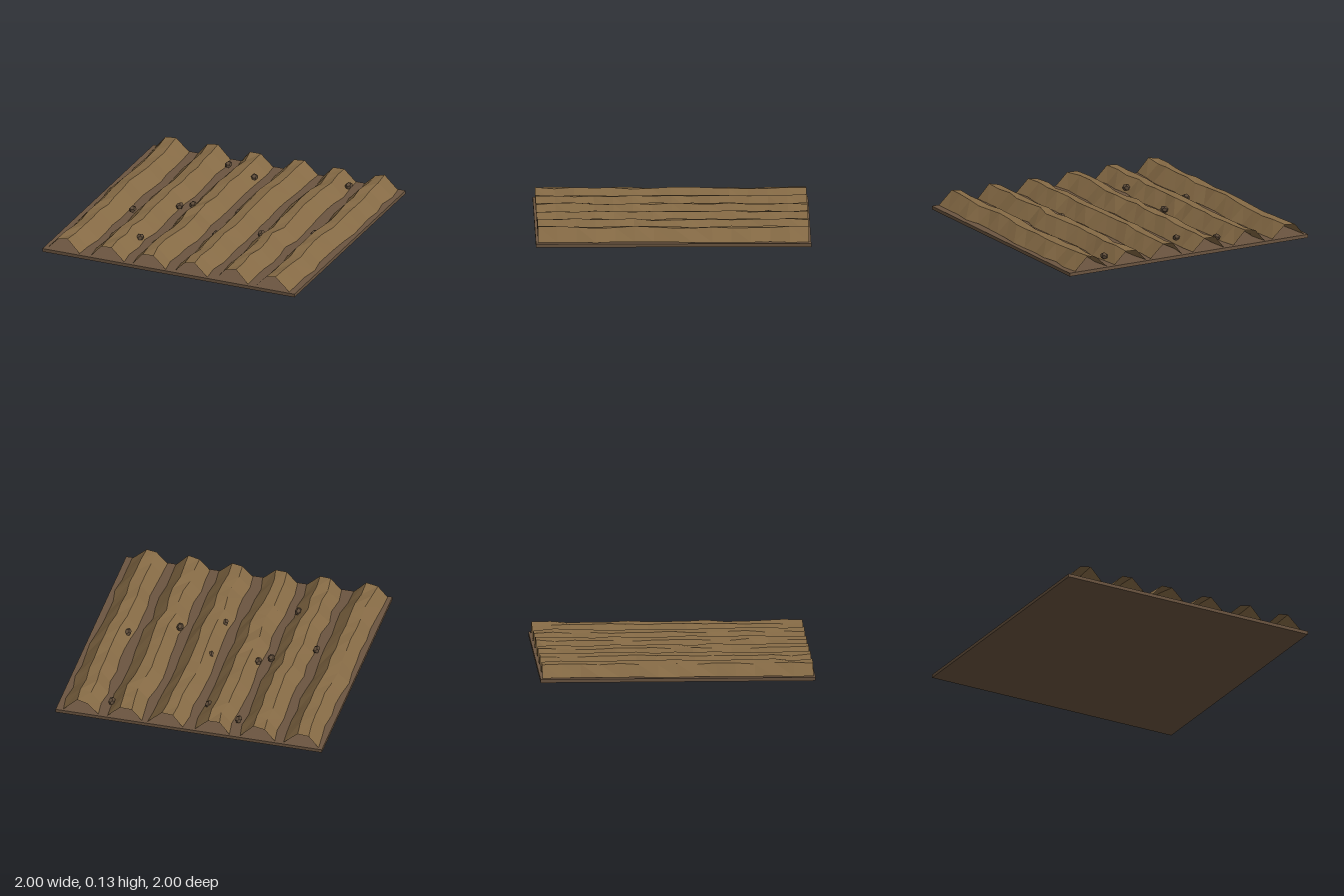
import * as THREE from 'three';

// Small seeded generator, returns -1..1
function seeded(seed) {
  let s = seed;
  return () => {
    s = (s * 16807) % 2147483647;
    return (s / 2147483647) * 2 - 1;
  };
}

const SOIL_TOP = 0.025;
const ROWS = 14;
const HALF_LENGTH = 0.985;
// Cross-section of one ridge: [x offset, y]
const PROFILE = [[-0.13, 0.028], [-0.05, 0.112], [0.03, 0.123], [0.132, 0.028]];

// Open ploughed ridge: the cross-section is swept along z and wobbles at every row
function ridgeGeometry(rand) {
  const positions = [], index = [];
  const n = PROFILE.length;
  for (let r = 0; r <= ROWS; r++) {
    const z = -HALF_LENGTH + (2 * HALF_LENGTH * r) / ROWS;
    const shift = rand() * 0.014;
    PROFILE.forEach(([x, y], i) => {
      const crest = i > 0 && i < n - 1;
      positions.push(x + shift + rand() * 0.006, y + rand() * (crest ? 0.007 : 0.002), z);
    });
  }
  for (let r = 0; r < ROWS; r++) {
    for (let i = 0; i < n - 1; i++) {
      const a = r * n + i, b = a + 1, c = a + n, d = c + 1;
      index.push(a, c, b, b, c, d);
    }
  }
  const geometry = new THREE.BufferGeometry();
  geometry.setAttribute('position', new THREE.Float32BufferAttribute(positions, 3));
  geometry.setIndex(index);
  const flat = geometry.toNonIndexed();
  flat.computeVertexNormals();
  return flat;
}

export function createModel() {
  const group = new THREE.Group();
  const rand = seeded(4217);
  const soil = new THREE.MeshStandardMaterial({ color: 0x6b5540, flatShading: true });
  const earth = new THREE.MeshStandardMaterial({ color: 0x856a45, flatShading: true, side: THREE.DoubleSide });
  const stone = new THREE.MeshStandardMaterial({ color: 0x5c4a38, flatShading: true });

  // Ground slab
  const slab = new THREE.Mesh(new THREE.BoxGeometry(2, SOIL_TOP, 2), soil);
  slab.name = 'groundSlab';
  slab.position.y = SOIL_TOP / 2;
  group.add(slab);

  // Six parallel ridges
  for (let i = 0; i < 6; i++) {
    const ridge = new THREE.Mesh(ridgeGeometry(rand), earth);
    ridge.name = `ridge${i + 1}`;
    ridge.position.x = -0.83 + i * 0.331;
    group.add(ridge);
  }

  // Clods: [x, z], some lying in the furrows and some half buried in the ridges
  const clods = [
    [-0.33, -0.83], [0.62, -0.84], [-0.07, -0.70], [-0.28, -0.08], [-0.36, -0.02],
    [-0.65, 0.17], [-0.40, 0.60], [0.38, 0.19], [0.73, 0.03], [0.08, 0.33],
    [0.08, -0.09], [-0.24, 0.55], [0.89, -0.86], [-0.85, 0.4], [-0.80, -0.35],
    [-0.18, 0.2], [-0.15, -0.45], [0.15, 0.7], [0.18, -0.5], [0.44, 0.5],
    [0.48, -0.3], [0.51, 0.8], [0.55, -0.6], [0.85, 0.45],
  ];
  const clodGeometry = new THREE.DodecahedronGeometry(0.027);
  clods.forEach(([x, z], i) => {
    const clod = new THREE.Mesh(clodGeometry, stone);
    clod.name = `clod${i + 1}`;
    clod.position.set(x, 0.06, z);
    clod.scale.set(0.95, 0.95, 1.4);
    clod.rotation.z = rand() * 0.6;
    group.add(clod);
  });

  return group;
}
